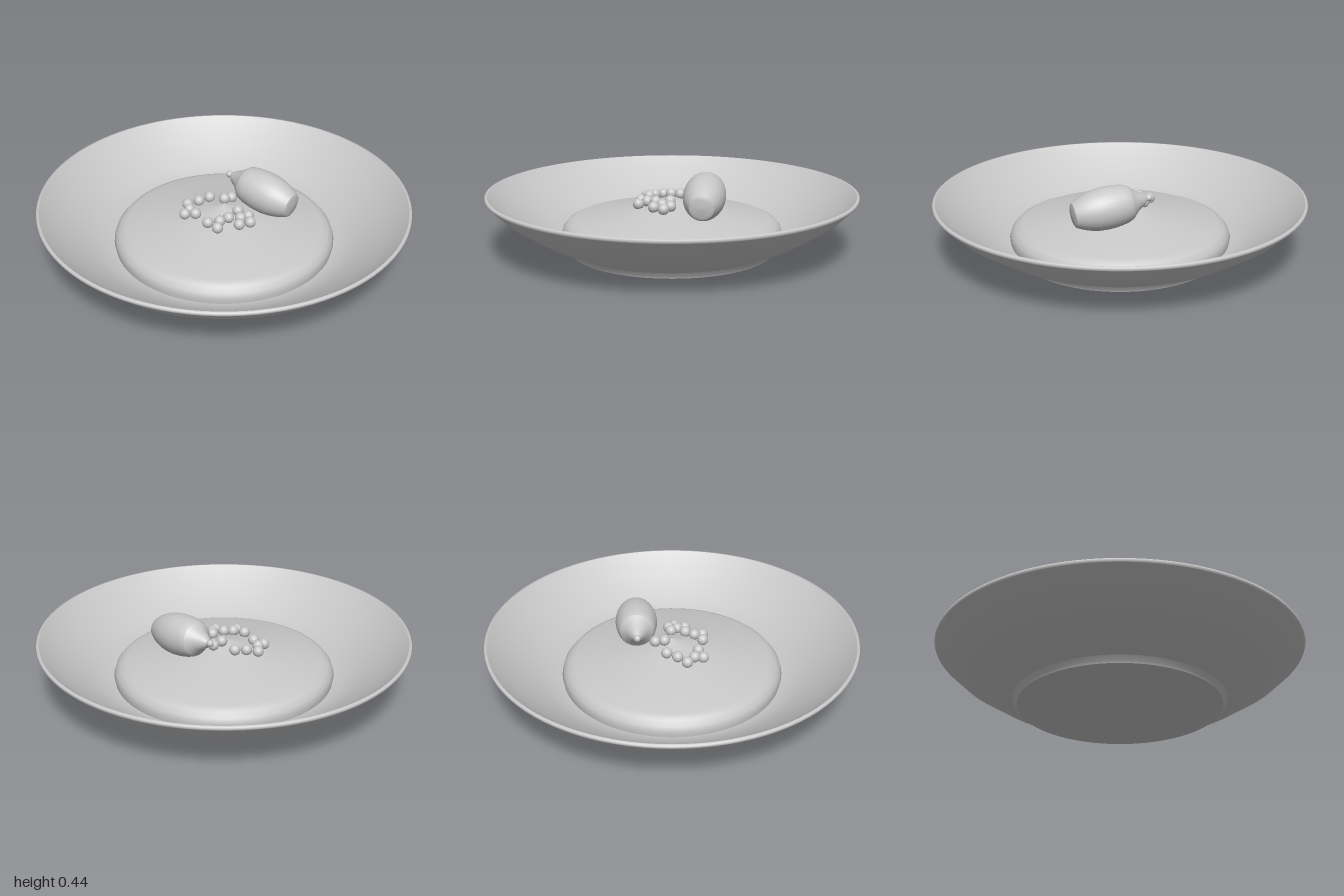
import * as THREE from 'three';

const ceramic = new THREE.MeshStandardMaterial({ color: 0xc8c8c8 });
ceramic.name = 'light grey';

// Each run of profile points is smooth; runs meet in a sharp edge.
function turned(name, runs, sides) {
  const group = new THREE.Group();
  group.name = name;
  runs.forEach((run, i) => {
    const points = run.map(([r, y]) => new THREE.Vector2(r, y));
    const mesh = new THREE.Mesh(new THREE.LatheGeometry(points, sides), ceramic);
    mesh.name = `${name}Section${i + 1}`;
    group.add(mesh);
  });
  return group;
}

// Smooth run through a few control points
function smoothRun(points, steps) {
  const curve = new THREE.SplineCurve(points.map(([r, y]) => new THREE.Vector2(r, y)));
  return curve.getPoints(steps).map((p) => [Math.max(p.x, 0), p.y]);
}

// Surface height of the serving at a distance from the middle
const moundProfile = [[0.53, 0.172], [0.4, 0.2], [0.2, 0.24], [0.1, 0.264], [0.03, 0.284], [0, 0.295]];
function moundHeight(r) {
  for (let i = 1; i < moundProfile.length; i++) {
    const [r0, y0] = moundProfile[i - 1];
    const [r1, y1] = moundProfile[i];
    if (r >= r1) return y1 + ((y0 - y1) * (r - r1)) / (r0 - r1);
  }
  return 0.295;
}

export function createModel() {
  const model = new THREE.Group();
  model.name = 'filledDish';

  // Dish: underside, foot, outer wall, rim and inside
  model.add(turned('dish', [
    [[0, 0.005], [0.53, 0.005], [0.55, 0]],
    [[0.55, 0], [0.555, 0.012], [0.572, 0.035]],
    [[0.572, 0.035], [0.73, 0.107], [0.9, 0.215], [0.995, 0.305]],
    [[0.995, 0.305], [1, 0.313], [0.998, 0.323], [0.985, 0.325]],
    [[0.985, 0.325], [0.885, 0.235], [0.72, 0.128], [0.58, 0.066], [0, 0.05]],
  ], 96));

  // Low mound with a rounded edge
  model.add(turned('mound', [
    [[0.59, 0.06], [0.597, 0.1], [0.588, 0.13], [0.565, 0.157], ...moundProfile],
  ], 72));

  // Pear-shaped piece lying on the mound
  const fruit = turned('fruit', [
    smoothRun([[0, -0.012], [0.014, -0.006], [0.019, 0.006], [0.015, 0.02]], 8),
    [[0.015, 0.02], [0.034, 0.04], [0.052, 0.075], [0.09, 0.115]],
    smoothRun([[0.09, 0.115], [0.103, 0.15], [0.113, 0.23], [0.107, 0.31], [0.088, 0.375], [0.066, 0.42]], 14),
    [[0.066, 0.42], [0.05, 0.428], [0, 0.432]],
  ], 28);
  fruit.position.set(-0.025, 0.36, -0.215);
  fruit.quaternion.setFromUnitVectors(
    new THREE.Vector3(0, 1, 0), new THREE.Vector3(0.4, -0.058, 0.17).normalize());
  model.add(fruit);

  // Small beads strewn around the middle
  const beads = new THREE.Group();
  beads.name = 'beads';
  const beadGeometry = new THREE.SphereGeometry(0.03, 16, 12);
  const beadSpots = [
    [-0.1, -0.08], [-0.15, -0.04], [-0.205, -0.01], [-0.18, 0.045], [-0.195, 0.09], [-0.135, 0.09],
    [-0.01, -0.05], [0.02, -0.09], [0.085, 0.035], [0.145, 0.05], [0.11, 0.085], [0.165, 0.095],
    [0.115, 0.135], [0.05, 0.105], [0.01, 0.14], [-0.05, 0.16], [0.01, 0.19],
  ];
  beadSpots.forEach(([x, z], i) => {
    const bead = new THREE.Mesh(beadGeometry, ceramic);
    bead.name = `bead${i + 1}`;
    bead.position.set(x, moundHeight(Math.hypot(x, z)) + 0.022, z);
    beads.add(bead);
  });
  model.add(beads);

  return model;
}
